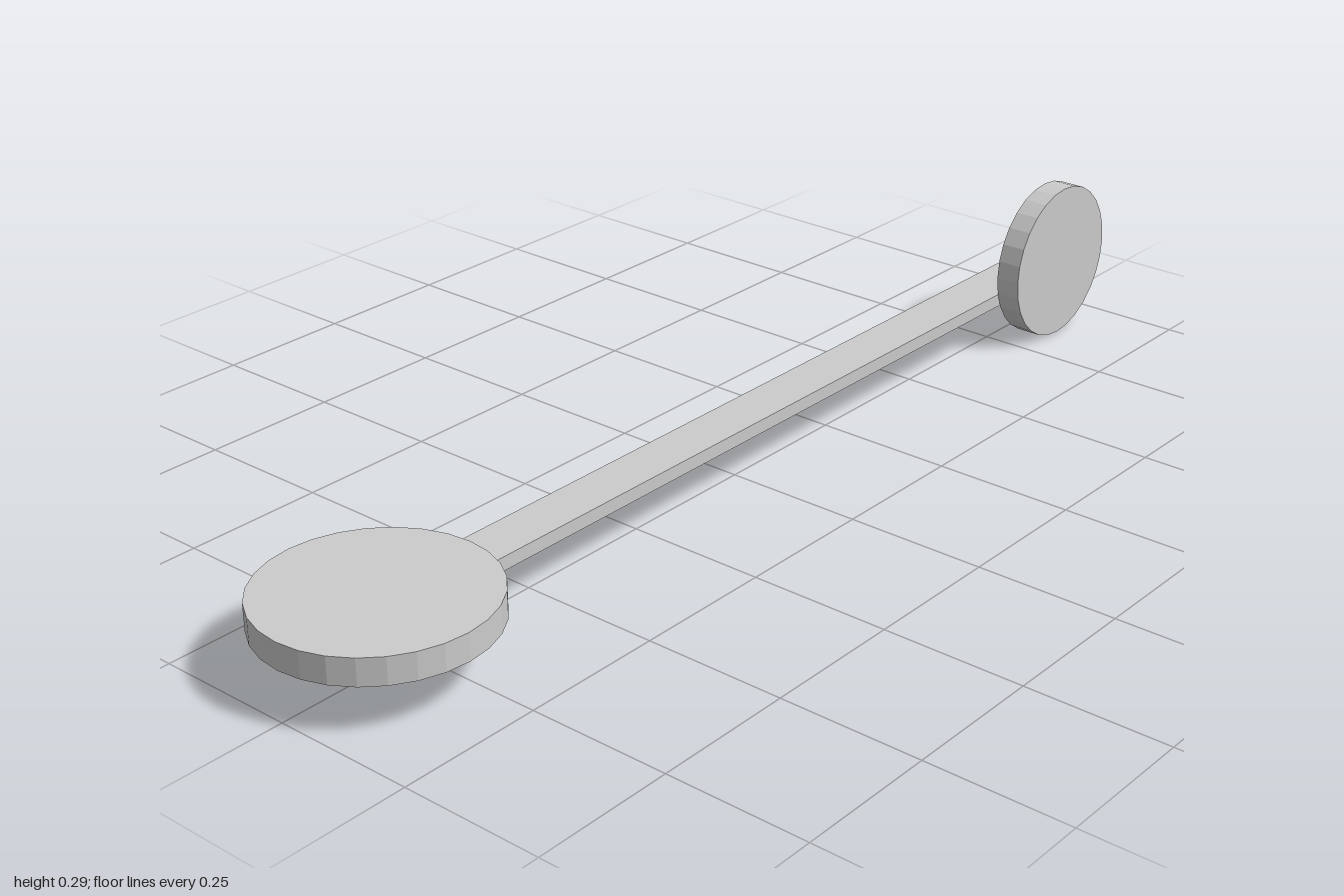
import * as THREE from 'three';

export function createModel() {
  const group = new THREE.Group();
  const material = new THREE.MeshStandardMaterial({ color: 0xcccccc, flatShading: true });

  const add = (name, geometry, x, y, z) => {
    const mesh = new THREE.Mesh(geometry, material);
    mesh.name = name;
    mesh.position.set(x, y, z);
    group.add(mesh);
    return mesh;
  };

  // Long flat bar, its underside flush with the pad
  add('bar', new THREE.BoxGeometry(0.088, 0.024, 1.5), 0, 0.098, -0.11);

  // Horizontal round pad at the front end
  add('pad', new THREE.CylinderGeometry(0.19, 0.19, 0.047, 28), 0, 0.1095, 0.81);

  // Upright wheel beside the rear end
  const wheel = add('wheel', new THREE.CylinderGeometry(0.145, 0.145, 0.045, 28), 0.0665, 0.145, -0.855);
  wheel.rotation.z = Math.PI / 2;

  return group;
}
